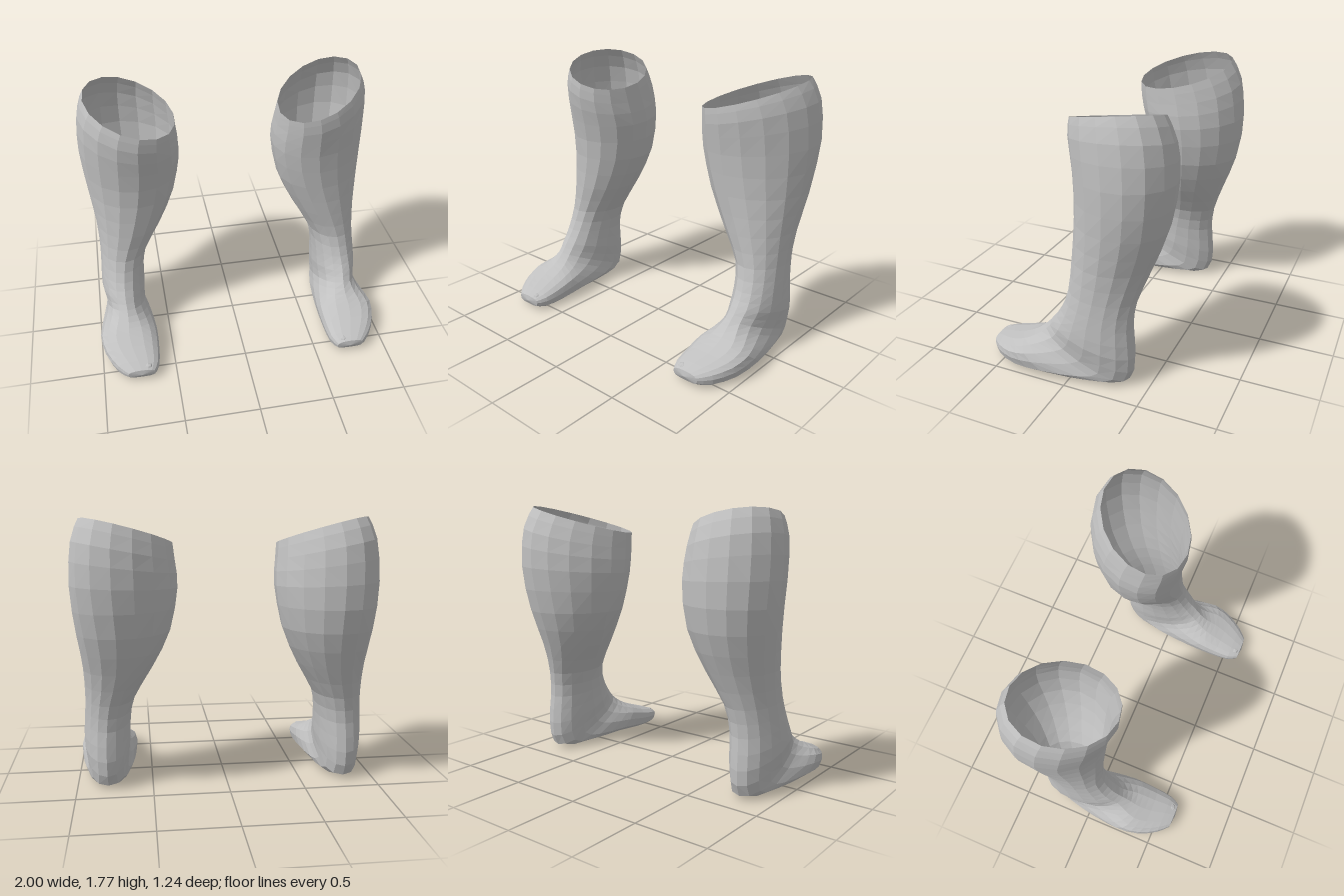
import * as THREE from 'three';

const grey = new THREE.MeshStandardMaterial({ color: 0xc0c0c0, flatShading: true, side: THREE.DoubleSide });
grey.name = 'plain grey';

const SIDES = 16;
const RINGS = 27;
const { smoothstep } = THREE.MathUtils;

const spline = (...points) => new THREE.SplineCurve(points.map(([a, b]) => new THREE.Vector2(a, b)));

// Three matching guide curves from the open top, round the heel, to the toes.
// Shin crest and instep (z, y)
const front = spline(
  [0.105, 1.62], [0.105, 1.52], [0.075, 1.32], [0.052, 1.05], [0.045, 0.8], [0.05, 0.6], [0.1, 0.45],
  [0.16, 0.36], [0.215, 0.295], [0.28, 0.238], [0.35, 0.2], [0.44, 0.162], [0.54, 0.128], [0.61, 0.1],
);
// Calf, heel and sole (z, y)
const back = spline(
  [-0.53, 1.745], [-0.6, 1.6], [-0.62, 1.36], [-0.57, 1.05], [-0.48, 0.8], [-0.402, 0.58], [-0.383, 0.4],
  [-0.402, 0.2], [-0.365, 0.03], [-0.18, 0.015], [0.12, 0.02], [0.36, 0.003], [0.53, 0.007], [0.602, 0.03],
);
// Inner and outer edge (x, x)
const edges = spline(
  [0.335, 0.93], [0.322, 0.98], [0.31, 0.998], [0.365, 0.972], [0.485, 0.942], [0.607, 0.937], [0.64, 0.948],
  [0.645, 0.955], [0.655, 0.935], [0.625, 0.965], [0.6, 1.0], [0.602, 0.975], [0.615, 0.905], [0.65, 0.835],
);

// Signed power for rounded-square cross-sections
const bend = (v, p) => Math.sign(v) * Math.pow(Math.abs(v), p);

function loftLeg(side, topShift, calfSkew, inset) {
  const pos = [], index = [];
  for (let r = 0; r < RINGS; r++) {
    const t = r / (RINGS - 1);
    const f = front.getPoint(t), b = back.getPoint(t), e = edges.getPoint(t);
    const mid = f.clone().add(b).multiplyScalar(0.5);
    const reach = f.clone().sub(b).multiplyScalar(0.5);
    // the calf is turned outward, the rim rises to the outside, the sole is flattened
    const calf = smoothstep(f.y, 0.65, 1.4);
    const inner = e.x + inset * calf;
    const half = (e.y - inner) / 2;
    const skew = calfSkew * calf;
    const width = Math.sqrt(half * half - skew * skew);
    const shift = topShift * smoothstep(f.y, 1.1, 1.5);
    const tilt = 0.07 * smoothstep(f.y, 1.2, 1.6);
    const square = 1.5 * smoothstep(t, 0.55, 0.75);
    for (let i = 0; i < SIDES; i++) {
      const a = (i / SIDES) * Math.PI * 2;
      const power = 2 / (2 + square * (Math.cos(a) < -0.001 ? 1 : 0.3));
      const u = bend(Math.cos(a), power), v = bend(Math.sin(a), power);
      pos.push(
        side * ((inner + e.y) / 2 + width * v + skew * u),
        mid.y + reach.y * u + tilt * v,
        mid.x + reach.x * u + shift,
      );
    }
  }
  // closed tip at the toes
  const tip = RINGS * SIDES;
  pos.push(side * 0.74, 0.062, 0.618);

  const face = (a, b, c) => (side > 0 ? index.push(a, b, c) : index.push(a, c, b));
  for (let r = 0; r < RINGS; r++) {
    for (let i = 0; i < SIDES; i++) {
      const a = r * SIDES + i, b = r * SIDES + ((i + 1) % SIDES);
      if (r === RINGS - 1) {
        face(a, tip, b);
      } else {
        face(a, a + SIDES, b);
        face(b, a + SIDES, b + SIDES);
      }
    }
  }
  const geo = new THREE.BufferGeometry();
  geo.setAttribute('position', new THREE.Float32BufferAttribute(pos, 3));
  geo.setIndex(index);
  geo.computeVertexNormals();
  return geo;
}

function makeLeg(name, side, topShift, calfSkew, inset) {
  const leg = new THREE.Group();
  leg.name = name;
  const shell = new THREE.Mesh(loftLeg(side, topShift, calfSkew, inset), grey);
  shell.name = 'shinAndFoot';
  leg.add(shell);
  // five low toe bumps curving back toward the outside
  for (let i = 0; i < 5; i++) {
    const toe = new THREE.Mesh(new THREE.SphereGeometry(i ? 0.036 : 0.042, 8, 5), grey);
    toe.name = 'toe' + (i + 1);
    toe.position.set(side * (0.695 + 0.053 * i), 0.075, 0.568 - 0.007 * i * i);
    leg.add(toe);
  }
  return leg;
}

export function createModel() {
  const model = new THREE.Group();
  model.name = 'pairOfLowerLegs';
  model.add(makeLeg('leftLeg', 1, 0, -0.08, 0));
  model.add(makeLeg('rightLeg', -1, 0.03, -0.04, 0.02));
  return model;
}
